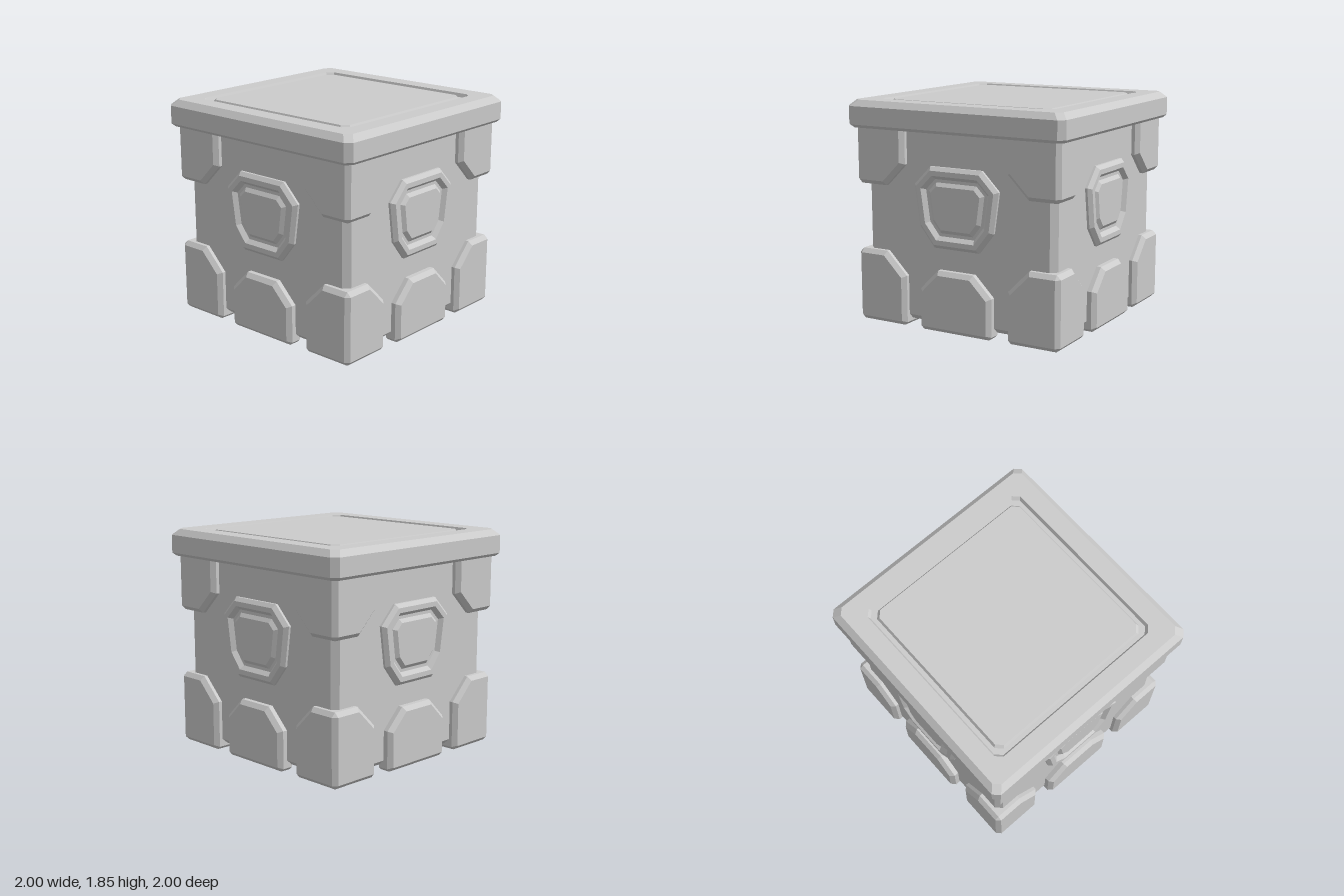
import * as THREE from 'three';

const material = new THREE.MeshStandardMaterial({ color: 0xcccccc, flatShading: true });

// Skin a row of equal-length loops (front to back, counter-clockwise from the front), capped at both ends.
function loft(loops) {
  const n = loops[0].length;
  const index = [];
  for (let k = 0; k < loops.length - 1; k++) {
    for (let i = 0; i < n; i++) {
      const j = (i + 1) % n, a = k * n, b = a + n;
      index.push(a + i, b + i, b + j, a + i, b + j, a + j);
    }
  }
  const last = (loops.length - 1) * n;
  for (let i = 1; i < n - 1; i++) {
    index.push(0, i, i + 1, last, last + i + 1, last + i);
  }
  const indexed = new THREE.BufferGeometry();
  indexed.setAttribute('position', new THREE.Float32BufferAttribute(loops.flat(2), 3));
  indexed.setIndex(index);
  const geometry = indexed.toNonIndexed();
  geometry.computeVertexNormals();
  return geometry;
}

// Move every edge of a convex counter-clockwise outline inward by d.
function inset(outline, d) {
  const n = outline.length;
  const normal = (p, q) => {
    const l = Math.hypot(q[0] - p[0], q[1] - p[1]);
    return [-(q[1] - p[1]) / l, (q[0] - p[0]) / l];
  };
  return outline.map((p, i) => {
    const a = normal(outline[(i + n - 1) % n], p);
    const b = normal(p, outline[(i + 1) % n]);
    const s = d / (1 + a[0] * b[0] + a[1] * b[1]);
    return [p[0] + (a[0] + b[0]) * s, p[1] + (a[1] + b[1]) * s];
  });
}

const atDepth = (outline, z) => outline.map(([x, y]) => [x, y, z]);

// Square with cut corners
function cutSquare(h, c) {
  const k = h - c;
  return [[-k, -h], [k, -h], [h, -k], [h, k], [k, h], [-k, h], [-h, k], [-h, -k]];
}

// Stack of cut squares given as [half width, height], top first
function squareStack(profile) {
  return loft(profile.map(([h, y]) => atDepth(cutSquare(h, 0.05), y))).rotateX(-Math.PI / 2);
}

// One half of a corner block, mitred on the diagonal x = z
const C = 0.945, B = 0.035;
function cornerHalfLoops(outline) {
  const inner = inset(outline, B);
  const loops = [[], [], [], []];
  const yMid = (Math.min(...outline.map(p => p[1])) + Math.max(...outline.map(p => p[1]))) / 2;
  const add = (front, edge, back, core) => [front, edge, back, core].forEach((p, i) => loops[i].push(p));
  outline.forEach(([x, y], i) => {
    const [ix, iy] = inner[i];
    const k = Math.min(x, 0.5);
    const front = [ix, iy, C], core = [k, y, k];
    if (x < C) {
      add(front, [x, y, C - B], [x, y, 0.86], core);
    } else {
      const m = C - B / 2, back = [0.86, y, 0.86];
      const pair = [[C - B, y, C - B], [m, iy, m]];
      if (y > yMid) pair.reverse();
      pair.forEach(edge => add(front, edge, back, core));
    }
  });
  return loops;
}

const mirrored = loops => loops.map(loop => loop.map(([x, y, z]) => [-x, y, z]).reverse());

export function createModel() {
  const model = new THREE.Group();
  const add = (parent, name, geometry) => {
    const mesh = new THREE.Mesh(geometry, material);
    mesh.name = name;
    parent.add(mesh);
  };

  // Main box with chamfered edges
  add(model, 'body', squareStack([[0.88, 1.64], [0.88, 0.09], [0.83, 0.045]]));

  // Overhanging lid with a groove around a flat centre panel
  add(model, 'lid', squareStack([
    [0.735, 1.845], [0.75, 1.82], [0.785, 1.82], [0.8, 1.85],
    [0.95, 1.85], [1, 1.8], [1, 1.65], [0.975, 1.625],
  ]));

  // Corner blocks
  const lower = cornerHalfLoops([[0.505, 0], [C, 0], [C, 0.61], [0.67, 0.61], [0.48, 0.42], [0.48, 0.025]]);
  const upper = cornerHalfLoops([[0.665, 1.16], [C, 1.16], [C, 1.7], [0.48, 1.7], [0.48, 1.345]]);
  const corners = {
    lowerCornerLeft: loft(lower), lowerCornerRight: loft(mirrored(lower)),
    upperCornerLeft: loft(upper), upperCornerRight: loft(mirrored(upper)),
  };

  // Foot in the middle of each side
  const footOutline = [
    [0.31, 0], [0.335, 0.025], [0.335, 0.34], [0.165, 0.51],
    [-0.165, 0.51], [-0.335, 0.34], [-0.335, 0.025], [-0.31, 0],
  ];
  const foot = loft([
    atDepth(inset(footOutline, B), 0.955), atDepth(footOutline, 0.92),
    atDepth(footOutline, 0.83), atDepth(inset(footOutline, 0.03), 0.8),
  ]);

  // Raised eight-sided ring with a panel inside
  const badgeOutline = [
    [0.21, 0.69], [0.345, 0.86], [0.393, 1.195], [0.24, 1.35],
    [-0.24, 1.35], [-0.393, 1.195], [-0.345, 0.86], [-0.21, 0.69],
  ];
  const badge = loft([
    [0.155, 0.92], [0.125, 0.895], [0.1, 0.895], [0.07, 0.93],
    [0.03, 0.93], [0, 0.9], [0, 0.86],
  ].map(([d, z]) => atDepth(inset(badgeOutline, d), z)));

  // The same fittings on all four sides
  ['front', 'left', 'back', 'right'].forEach((name, i) => {
    const side = new THREE.Group();
    side.name = name + 'Side';
    side.rotation.y = i * Math.PI / 2;
    for (const [part, geometry] of Object.entries(corners)) add(side, part, geometry);
    add(side, 'foot', foot);
    add(side, 'badge', badge);
    model.add(side);
  });

  return model;
}
